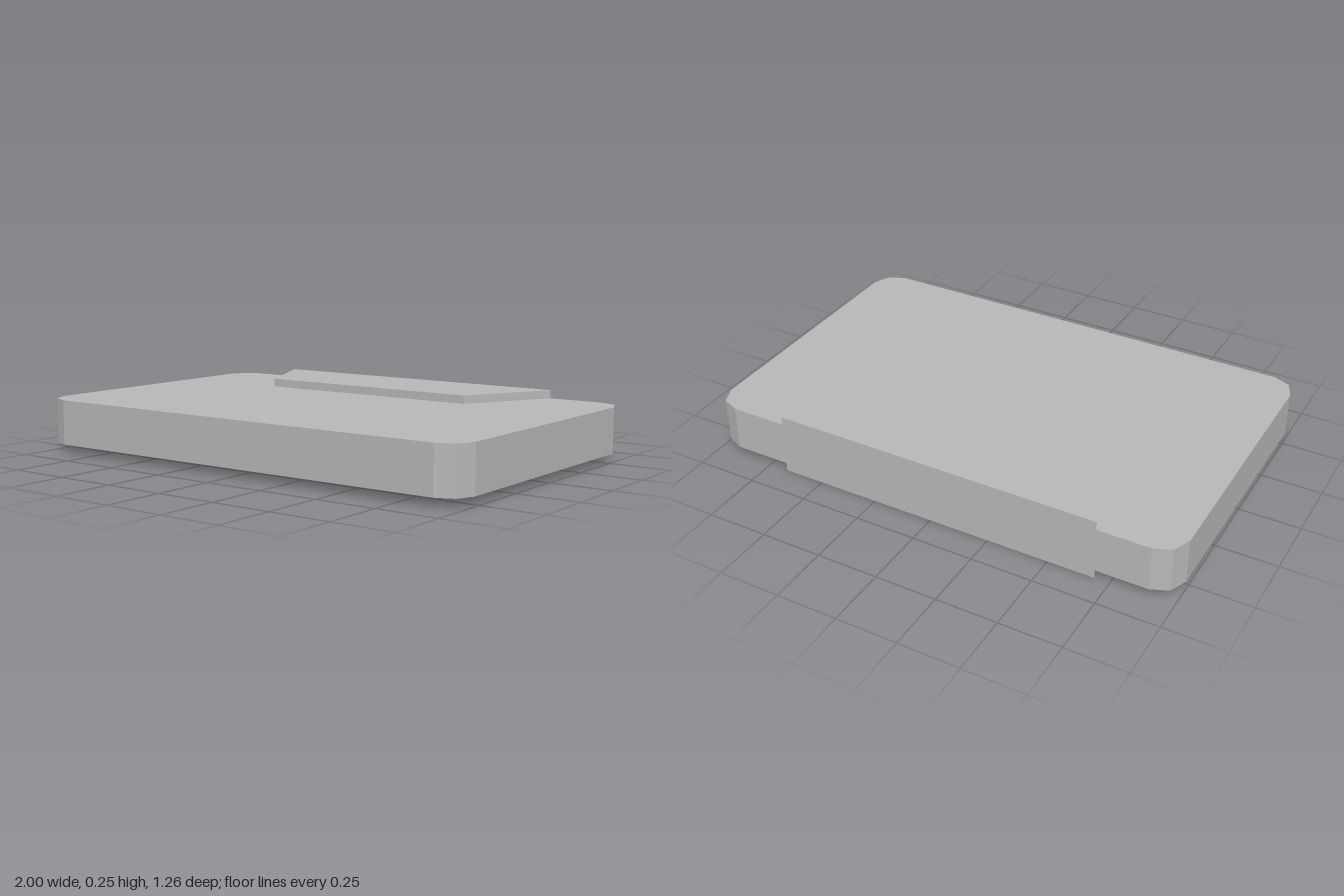
import * as THREE from 'three';

const grey = new THREE.MeshStandardMaterial({ color: 0xb8b8b8 });
grey.name = 'grey';

// Upright prism from an outline of [x, z] points between two heights
function slab(name, outline, bottom, top) {
  const shape = new THREE.Shape(outline.map(([x, z]) => new THREE.Vector2(x, -z)));
  const geometry = new THREE.ExtrudeGeometry(shape, { depth: top - bottom, bevelEnabled: false });
  geometry.rotateX(-Math.PI / 2).translate(0, bottom, 0);
  const mesh = new THREE.Mesh(geometry, grey);
  mesh.name = name;
  return mesh;
}

export function createModel() {
  const model = new THREE.Group();
  model.name = 'slabWithRaisedPads';

  // Body: rectangle with faceted corners, one corner mirrored around
  const corner = [[1, 0.527], [0.97, 0.598], [0.9, 0.628]];
  const mirrored = (sx, sz) => corner.map(([x, z]) => [x * sx, z * sz]);
  const bodyOutline = [
    ...mirrored(1, 1), ...mirrored(-1, 1).reverse(),
    ...mirrored(-1, -1), ...mirrored(1, -1).reverse(),
  ];
  model.add(slab('body', bodyOutline, 0.035, 0.22));

  // Trapezoid pads at the back edge, above and below
  const padOutline = [[-0.69, -0.628], [-0.508, -0.261], [0.473, -0.261], [0.668, -0.628]];
  model.add(slab('topPad', padOutline, 0.22, 0.254));
  model.add(slab('bottomPad', padOutline, 0, 0.035));

  return model;
}
